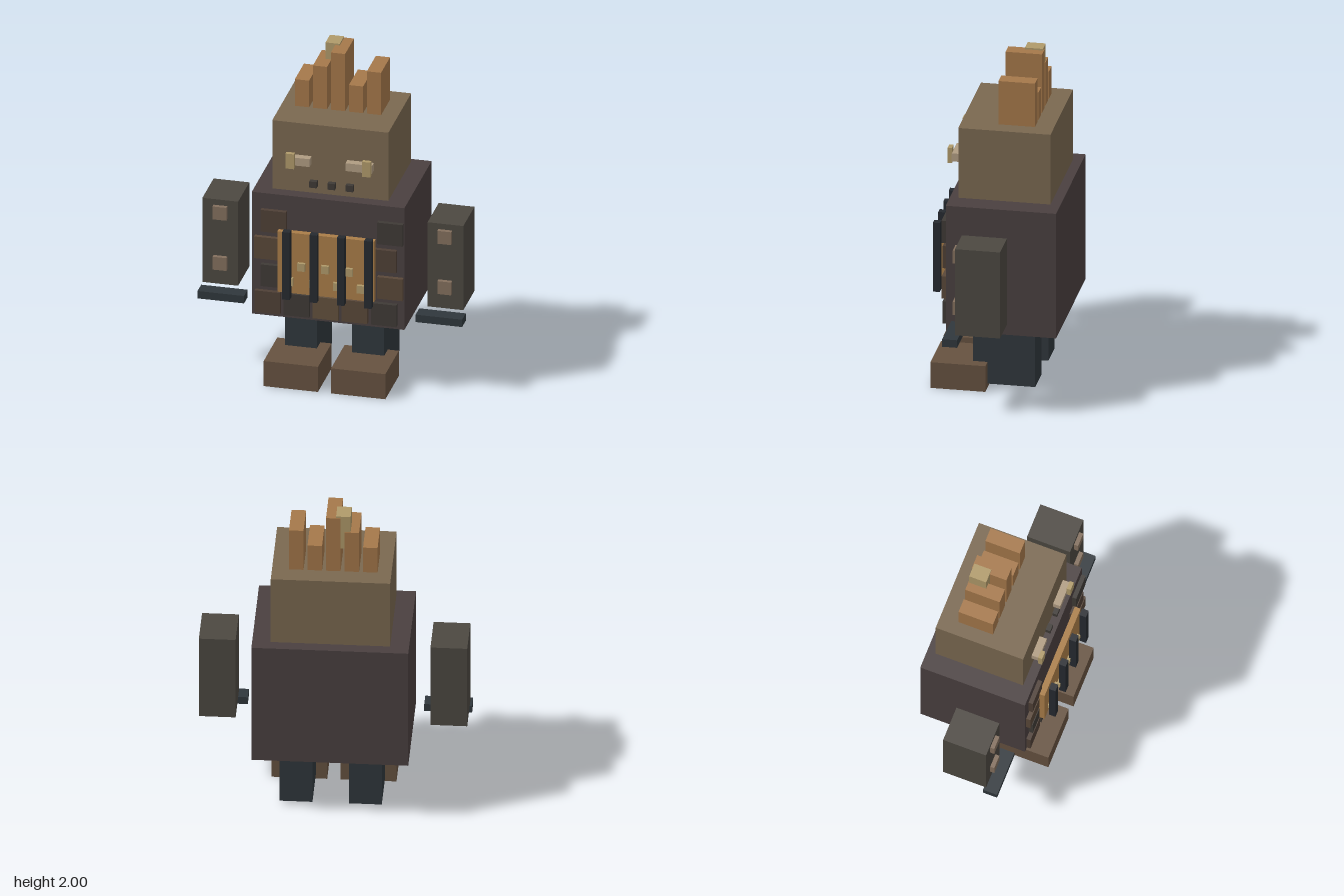
import * as THREE from 'three';

const material = (color) => new THREE.MeshStandardMaterial({ color, flatShading: true });
const mats = {
  head: material(0x7a6850), torso: material(0x4a4040), arm: material(0x4c4841),
  steel: material(0x30373c), boot: material(0x665240), hair: material(0xa5784a),
  gold: material(0xb09a6a), panel: material(0xaa7d48), bar: material(0x262a30),
  brow: material(0xb09c82), bolt: material(0x84705e), dark: material(0x3f3a36),
  umber: material(0x4f4036), brown: material(0x5a4839), tan: material(0x62503d),
};

export function createModel() {
  const root = new THREE.Group();
  root.name = 'blockRobot';

  // Box given by its limits along each axis
  const box = (name, mat, [x0, x1], [y0, y1], [z0, z1], parent = root) => {
    const mesh = new THREE.Mesh(new THREE.BoxGeometry(x1 - x0, y1 - y0, z1 - z0), mats[mat]);
    mesh.position.set((x0 + x1) / 2, (y0 + y1) / 2, (z0 + z1) / 2);
    mesh.name = name;
    parent.add(mesh);
    return mesh;
  };
  const around = (c, w) => [c - w / 2, c + w / 2];
  const group = (name) => {
    const g = new THREE.Group();
    g.name = name;
    root.add(g);
    return g;
  };

  // Body and head
  box('torso', 'torso', [-0.454, 0.451], [0.403, 1.18], [-0.376, 0.27]);
  box('head', 'head', [-0.346, 0.343], [1.19, 1.625], [-0.323, 0.217]);

  // Limbs, mirrored about the body's centre line
  for (const s of [-1, 1]) {
    const side = s > 0 ? 'left' : 'right';
    const at = (d) => s * d - 0.002;

    const arm = group(side + 'Arm');
    box('armBlock', 'arm', around(at(0.668), 0.212), [0.513, 1.05], [-0.11, 0.155], arm);
    box('handPlate', 'steel', around(at(0.647), 0.276), [0.44, 0.487], [0.14, 0.227], arm);
    for (const y of [0.652, 0.973])
      box('armBolt', 'bolt', around(at(0.667), 0.082), around(y, 0.082), [0.153, 0.18], arm);

    const leg = group(side + 'Leg');
    box('legBlock', 'steel', around(s * 0.2 + 0.004, 0.19), [0.025, 0.405], [-0.225, 0.14], leg);
    box('foot', 'boot', around(s * 0.2 + 0.004, 0.322), [0, 0.16], [0.055, 0.377], leg);

    // Brow bar and upright eye block
    const eye = group(side + 'Eye');
    box('browBar', 'brow', around(at(s > 0 ? 0.183 : 0.172), s > 0 ? 0.157 : 0.127),
      [1.378, 1.428], [0.228, 0.272], eye);
    box('eyeBlock', 'gold', around(s * 0.227 + 0.004, 0.05), [1.365, 1.46], [0.271, 0.296], eye);
  }

  // Mouth studs
  for (const x of [-0.096, 0.012, 0.12])
    box('mouthStud', 'dark', around(x, 0.044), [1.238, 1.277], [0.225, 0.254]);

  // Hair crest
  const crest = group('hairCrest');
  [1.795, 1.895, 1.99, 1.795, 1.895].forEach((top, i) =>
    box('hairSpike', 'hair', around(-0.224 + i * 0.1068, 0.084), [1.625, top], [-0.213, 0], crest));
  box('crestBlock', 'gold', [-0.11, -0.026], [1.78, 2], [-0.208, -0.103], crest);

  // Chest panel, bars and the nuggets behind them
  const chest = group('chestCage');
  box('chestPanel', 'panel', [-0.288, 0.286], [0.588, 0.973], [0.291, 0.327], chest);
  for (let i = 0; i < 4; i++)
    box('cageBar', 'bar', around(-0.225 + i * 0.162, 0.044), [0.567, 0.997], [0.337, 0.378], chest);
  for (let i = 0; i < 7; i++)
    box('nugget', 'gold', around(-0.214 + i * 0.0705, 0.045),
      around(i % 2 ? 0.766 : 0.666, 0.049), [0.326, 0.346], chest);

  // Patch plates: two staggered side columns and a bottom row
  const patches = group('patchPlates');
  const patch = (mat, x, y) => box('patch', mat, around(x, 0.151), around(y, 0.138), [0.269, 0.296], patches);
  [['umber', 'dark'], ['brown', 'umber'], ['dark', 'brown']].forEach(([a, b], i) => {
    const shift = i === 1 ? -0.038 : 0;
    const y = 1.014 - i * 0.174;
    patch(a, -0.321 + shift, y);
    patch(b, 0.371 + shift, y);
  });
  ['umber', 'dark', 'tan', 'brown', 'dark'].forEach((mat, i) => patch(mat, -0.357 + i * 0.1728, 0.496));

  return root;
}
